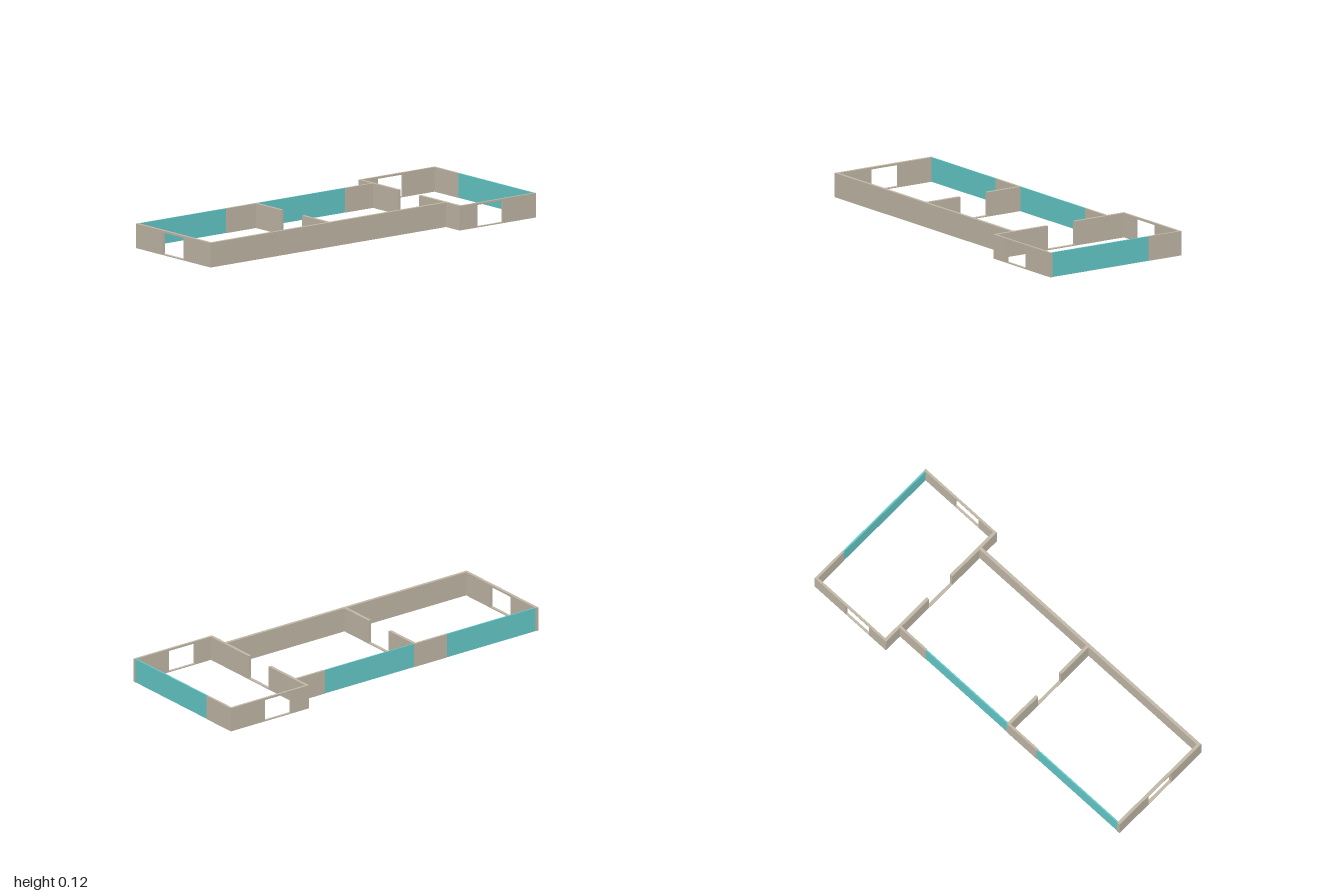
import * as THREE from 'three';

const H = 0.125;          // wall height
const T = 0.016;          // main wall thickness
const SILL = 0.005;       // threshold height
const LINTEL = 0.115;     // underside of door lintel

const plaster = new THREE.MeshStandardMaterial({ color: 0xc4baa9 });
const glass = new THREE.MeshStandardMaterial({ color: 0x66cccc });

// Wall elevation from a to b; door = [start, end], open-topped or under a lintel
function elevation(a, b, door, openTop) {
  const s = new THREE.Shape();
  s.moveTo(a, 0);
  s.lineTo(b, 0);
  s.lineTo(b, H);
  if (door && openTop) {
    s.lineTo(door[1], H);
    s.lineTo(door[1], SILL);
    s.lineTo(door[0], SILL);
    s.lineTo(door[0], H);
  }
  s.lineTo(a, H);
  s.closePath();
  if (door && !openTop) {
    const h = new THREE.Path();
    h.moveTo(door[0], SILL);
    h.lineTo(door[0], LINTEL);
    h.lineTo(door[1], LINTEL);
    h.lineTo(door[1], SILL);
    h.closePath();
    s.holes.push(h);
  }
  return s;
}

export function createModel() {
  const model = new THREE.Group();

  function add(name, shape, depth, material) {
    const geometry = new THREE.ExtrudeGeometry(shape, { depth, bevelEnabled: false });
    const mesh = new THREE.Mesh(geometry, material);
    mesh.name = name;
    model.add(mesh);
    return mesh;
  }

  // Wall running along x, from x0 to x1, with its back face at z
  function wallX(name, x0, x1, z, { depth = T, door, material = plaster } = {}) {
    add(name, elevation(x0, x1, door), depth, material).position.z = z;
  }

  // Wall running along z, from z0 to z1, with its low-x face at x
  function wallZ(name, z0, z1, x, { depth = T, door, openTop, material = plaster } = {}) {
    const flipped = door && [-door[1], -door[0]];
    const mesh = add(name, elevation(-z1, -z0, flipped, openTop), depth, material);
    mesh.rotation.y = Math.PI / 2;
    mesh.position.x = x;
  }

  const doorZ = [-0.088, 0.078];
  const doorX = [0.625, 0.787];

  // Long wing: end wall, front wall and partition
  wallZ('endWall', -0.298, 0.292, -1, { door: doorZ });
  wallX('longFrontWall', -1 + T, 0.51, 0.292 - T);
  wallZ('partition', -0.298, 0.292 - T, -0.24, { door: doorZ, openTop: true });

  // Back of the long wing: a window and a solid stretch per room
  const rooms = [[-1 + T, -0.43, -0.24], [-0.24 + T, 0.335, 0.51]];
  rooms.forEach(([start, split, end], i) => {
    wallX('backWindow' + (i + 1), start, split, -0.296, { depth: 0.007, material: glass });
    wallX('longBackWall' + (i + 1), split, end, -0.298, { depth: 0.012 });
  });

  // Cross wing: inner wall, front and back walls with doors
  wallZ('crossWingInnerWall', -0.4, 0.4, 0.51, { door: doorZ, openTop: true });
  wallX('crossWingFrontWall', 0.51 + T, 1, 0.388, { depth: 0.012, door: doorX });
  wallX('crossWingBackWall', 0.51 + T, 1, -0.4, { depth: 0.012, door: doorX });

  // Outer side of the cross wing
  wallZ('sideWindow', -0.2, 0.388, 0.99, { depth: 0.008, material: glass });
  wallZ('sideWall', -0.388, -0.2, 0.988, { depth: 0.012 });

  return model;
}
